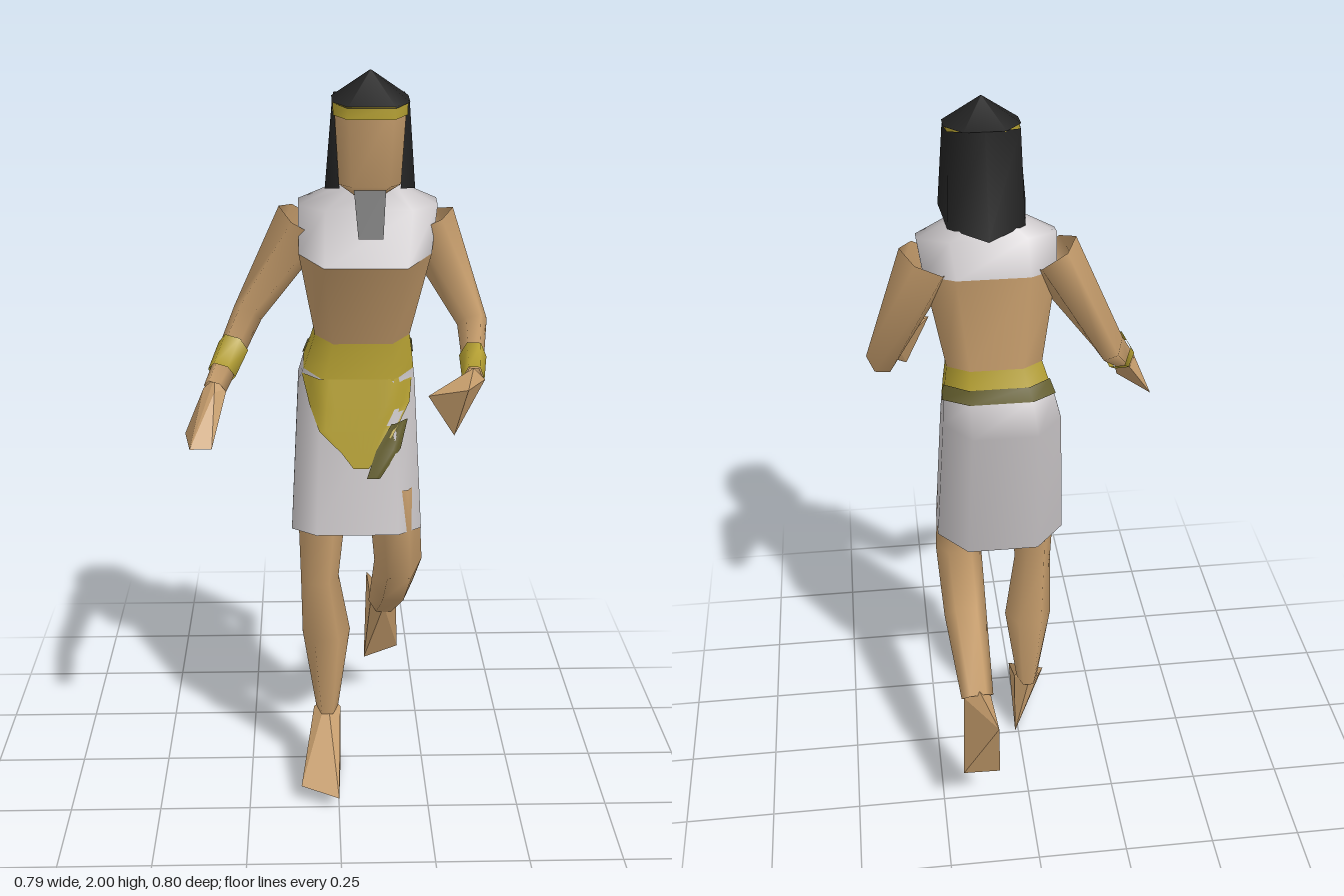
import * as THREE from 'three';
import { ConvexGeometry } from 'three/addons/geometries/ConvexGeometry.js';

const paint = (name, color) => {
  const m = new THREE.MeshStandardMaterial({ color, side: THREE.DoubleSide });
  m.name = name;
  return m;
};
const V = (x, y, z) => new THREE.Vector3(x, y, z);
const mix = (a, b, t) => a + (b - a) * t;

// Skin over cross-sections, each a list of Vector3 running counterclockwise
function loft(rings, closed = true) {
  const n = rings[0].length, index = [];
  for (let j = 0; j < rings.length - 1; j++) {
    for (let i = 0; i < (closed ? n : n - 1); i++) {
      const k = (i + 1) % n, a = j * n + i, b = j * n + k;
      index.push(a, b, b + n, a, b + n, a + n);
    }
  }
  const g = new THREE.BufferGeometry().setFromPoints(rings.flat());
  g.setIndex(index);
  g.computeVertexNormals();
  return g;
}

// Eight-sided body section: side limits, front/back depth and front/back height
const PROFILE = [[1, .4], [1, -.3], [.55, -1], [-.55, -1], [-1, -.3], [-1, .4], [-.62, 1], [.62, 1]];
const section = ([x0, x1, zF, zB, yF, yB], grow = 0) => PROFILE.map(([s, t]) => V(
  mix(x0 - grow, x1 + grow, (s + 1) / 2),
  mix(yB, yF, (t + 1) / 2),
  mix(zB - grow, zF + grow, (t + 1) / 2)));

// Tapering limb through [x, y, z, side radius, depth radius]
function limb(path, sides = 6) {
  const pos = path.map(p => V(p[0], p[1], p[2]));
  return loft(path.map((p, i) => {
    const t = V(0, 0, 0);
    if (i > 0) t.add(pos[i].clone().sub(pos[i - 1]).normalize());
    if (i < path.length - 1) t.add(pos[i + 1].clone().sub(pos[i]).normalize());
    t.normalize();
    const u = V(1, 0, 0).addScaledVector(t, -t.x).normalize();
    const v = t.clone().cross(u);
    return Array.from({ length: sides }, (_, k) => {
      const a = k / sides * Math.PI * 2;
      return pos[i].clone().addScaledVector(u, Math.cos(a) * p[3]).addScaledVector(v, Math.sin(a) * p[4]);
    });
  }));
}

// Solid from the end of a limb to a few tip points
function extremity([x, y, z], r, tips) {
  const pts = tips.map(p => V(...p));
  for (const s of [-1, 1]) pts.push(V(x + s * r, y, z), V(x, y + s * r, z), V(x, y, z + s * r));
  return new ConvexGeometry(pts);
}

export function createModel() {
  const skin = paint('skin', 0xc69d6c);
  const linen = paint('linen', 0xcac6c8);
  const gold = paint('gold', 0xb5a032);
  const olive = paint('olive', 0x66602f);
  const black = paint('black', 0x212121);
  const model = new THREE.Group();
  const add = (name, geometry, material) => {
    const m = new THREE.Mesh(geometry, material);
    m.name = name;
    model.add(m);
  };

  // Body sections from hem to neck
  const hem = [-.125, .225, .165, -.065, .80, .77];
  const hip = [-.105, .205, .098, -.15, 1.19, 1.19];
  const beltLow = [-.09, .2, .097, -.105, 1.21, 1.27];
  const beltMid = [-.075, .195, .095, -.09, 1.26, 1.305];
  const waist = [-.06, .188, .095, -.075, 1.31, 1.35];
  const chest = [-.1, .235, .185, -.065, 1.53, 1.6];
  const shoulders = [-.1, .25, .12, -.025, 1.66, 1.685];
  const neckBase = [.01, .14, .11, .02, 1.72, 1.73];
  add('skirt', loft([hem, hip, beltLow].map(r => section(r))), linen);
  add('belt', loft([beltLow, beltMid, waist].map(r => section(r))), gold);
  add('beltBackStripe', loft([beltLow, beltMid].map(r => section(r, .004).slice(1, 5)), false), olive);
  add('torso', loft([waist, chest].map(r => section(r))), skin);
  add('collar', loft([chest, shoulders, neckBase].map(r => section(r))), linen);

  // Thin panels following the front of the skirt, rows of [y, xLeft, xRight]
  const panel = (rows, lift) => loft(rows.map(([y, a, b]) =>
    Array.from({ length: 13 }, (_, i) => {
      const x = mix(a, b, i / 12);
      const f = (y - .8) / .39;
      const [x0, x1, zF, zB] = hem.map((h, k) => mix(h, hip[k], f));
      const s = Math.abs((x - (x0 + x1) / 2) / ((x1 - x0) / 2));
      const t = 1 - Math.max(0, s - .62) / .38 * .6;
      return V(x, y, mix(zB, zF, (t + 1) / 2) + lift);
    })), false);
  add('apron', panel([[.98, .04, .08], [1.02, .01, .11], [1.08, -.05, .15],
    [1.14, -.075, .19], [1.215, -.095, .197]], .005), gold);
  add('apronShade', panel([[.955, .075, .11], [1.03, .10, .165], [1.1, .14, .185]], .008), olive);

  // Head
  const crown = [-.012, .163, .21, .03, 1.925, 1.94];
  const brow = [-.011, .162, .21, .03, 1.895, 1.91];
  add('neck', limb([[.077, 1.64, .06, .055, .055], [.077, 1.78, .09, .055, .055]]), skin);
  add('face', loft([[.04, .11, .14, .08, 1.70, 1.70], [.0, .152, .205, .03, 1.735, 1.73], crown]
    .map(r => section(r))), skin);
  add('headband', loft([brow, crown].map(r => section(r, .003))), gold);

  // Hair: pointed cap and a hanging sheet around the sides and back
  add('hairCap', loft([section([-.017, .171, .214, .013, 1.922, 1.945]),
    section([.075, .079, .112, .108, 2, 2])]), black);
  const around = half => [...half.map(([dx, y, z]) => V(.077 + dx, y, z)),
    ...half.slice(0, -1).reverse().map(([dx, y, z]) => V(.077 - dx, y, z))];
  add('hairSides', loft([
    around([[.075, 1.72, .14], [.111, 1.72, .133], [.096, 1.705, .01], [0, 1.69, -.048]]),
    around([[.086, 1.925, .145], [.094, 1.925, .138], [.088, 1.94, .04], [0, 1.945, .012]]),
  ], false), black);
  add('beard', new ConvexGeometry([-1, 1].flatMap(s => [
    V(.075 + s * .04, 1.735, .175), V(.075 + s * .03, 1.62, .257), V(.075 + s * .03, 1.70, .13)])), black);

  // Arms with a gold band on each forearm, and hands
  const arms = {
    right: {
      path: [[-.085, 1.62, .03, .075, .085], [-.235, 1.37, 0, .04, .06], [-.315, 1.22, .18, .03, .033]],
      band: [.45, .8],
      tips: [[-.395, 1.1, .18], [-.375, 1.1, .3], [-.32, 1.1, .297]],
    },
    left: {
      path: [[.225, 1.62, .03, .075, .085], [.352, 1.35, .03, .04, .05], [.335, 1.26, .24, .023, .042]],
      band: [.6, 1],
      tips: [[.21, 1.268, .39], [.305, 1.285, .4], [.28, 1.15, .345]],
    },
  };
  for (const [side, { path, band, tips }] of Object.entries(arms)) {
    const at = t => path[1].map((p, i) => mix(p, path[2][i], t) + (i > 2 ? .005 : 0));
    add(side + 'Arm', limb(path), skin);
    add(side + 'Bracelet', limb(band.map(at)), gold);
    add(side + 'Hand', extremity(path[2], .03, tips), skin);
  }

  // Standing right leg, left leg bent backwards, and feet
  const legs = {
    right: {
      path: [[-.04, .9, .05, .07, .085], [-.05, .64, .075, .052, .065],
        [-.032, .45, .04, .067, .066], [-.03, .2, .04, .031, .05]],
      tips: [[-.105, .055, .225], [0, .045, .272], [.01, .003, .005]],
    },
    left: {
      path: [[.15, .9, .05, .07, .09], [.165, .69, .08, .065, .088],
        [.16, .555, -.065, .06, .072], [.145, .395, -.245, .045, .042]],
      tips: [[.09, .163, -.31], [.195, .19, -.333], [.1, .415, -.4]],
    },
  };
  for (const [side, { path, tips }] of Object.entries(legs)) {
    add(side + 'Leg', limb(path), skin);
    add(side + 'Foot', extremity(path[3], .038, tips), skin);
  }
  return model;
}
